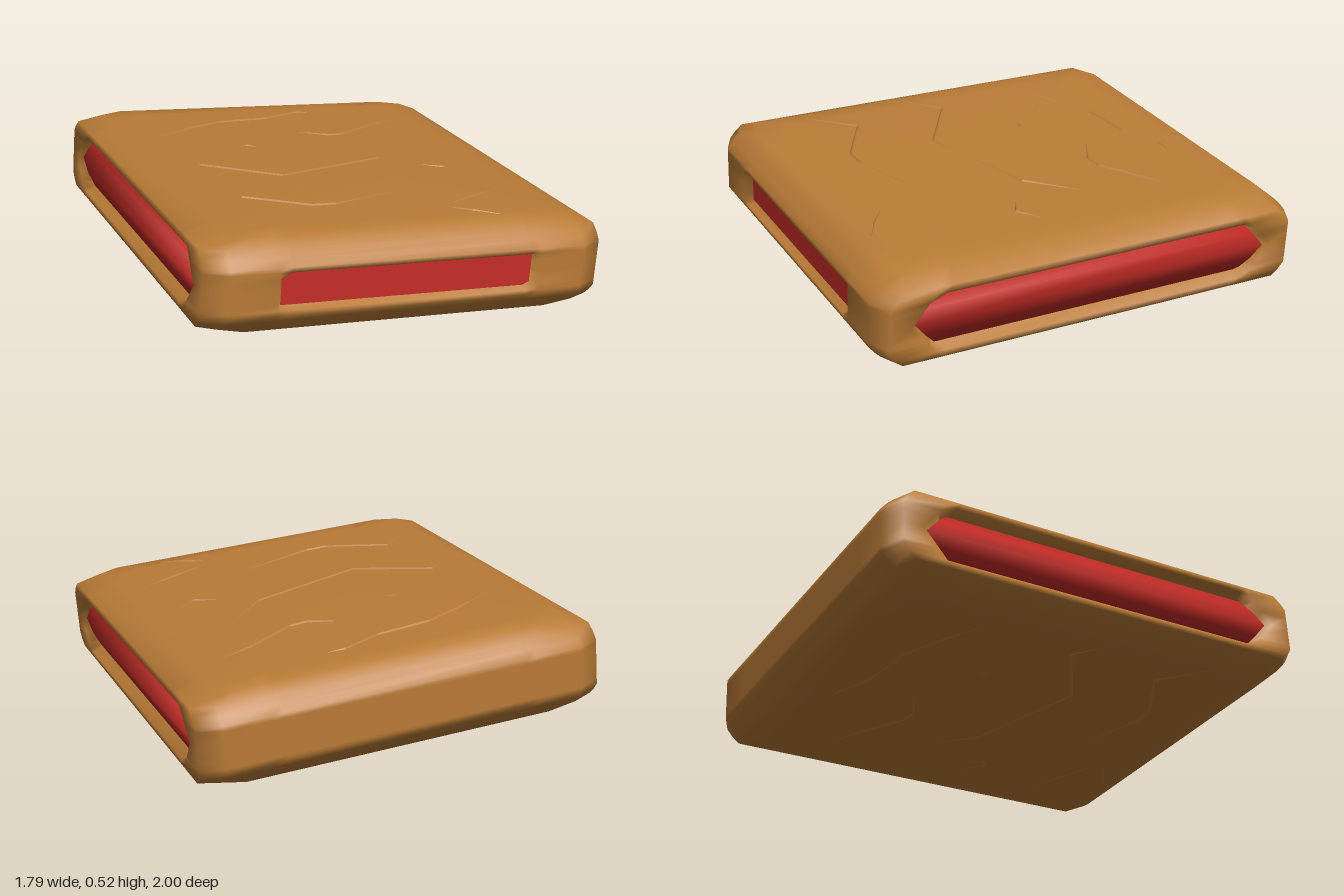
import * as THREE from 'three';

const crust = new THREE.MeshStandardMaterial({ color: 0xb97b37 });
crust.name = 'bakedCrust';
const jam = new THREE.MeshStandardMaterial({ color: 0xc42c26 });
jam.name = 'redFilling';

// Skin equal-length rings, listed from bottom to top, and close both ends.
function loft(rings) {
  const n = rings[0].length;
  const pos = rings.flat(2);
  const idx = [];
  for (let l = 0; l < rings.length - 1; l++) {
    for (let i = 0; i < n; i++) {
      const a = l * n + i, b = l * n + (i + 1) % n;
      idx.push(a, b, b + n, a, b + n, a + n);
    }
  }
  const bottom = pos.length / 3, top = bottom + 1, last = (rings.length - 1) * n;
  pos.push(0, rings[0][0][1], 0, 0, rings[rings.length - 1][0][1], 0);
  for (let i = 0; i < n; i++) {
    const j = (i + 1) % n;
    idx.push(bottom, j, i, top, last + i, last + j);
  }
  const geo = new THREE.BufferGeometry();
  geo.setAttribute('position', new THREE.Float32BufferAttribute(pos, 3));
  geo.setIndex(idx);
  geo.computeVertexNormals();
  return geo;
}

// One horizontal section of the crust, with pockets in the front and both ends.
function crustRing([y, hx, hz]) {
  const h = Math.abs(y);
  const xc = hx - 0.1, zc = hz - 0.05;
  const endFloor = 0.81 - 0.8 * h;
  const stations = (corner, floor) => {
    const rim = Math.min(floor + 0.05, corner * 0.96);
    const f = Math.min(floor, corner * 0.9);
    return [corner, rim, f, -f, -rim, -corner];
  };
  const endDepth = h <= 0.101 ? 0.085 : 0;
  const frontDepth = h <= 0.056 ? 0.08 : 0;
  const cut = (i, depth) => (i === 2 || i === 3 ? depth : 0);
  const zs = stations(zc, endFloor), xs = stations(xc, 0.53);
  return [
    ...zs.map((z, i) => [hx - cut(i, endDepth), y, z]),
    ...xs.map((x) => [x, y, -hz]),
    ...zs.map((z, i) => [-hx + cut(i, endDepth), y, -z]),
    ...xs.map((x, i) => [-x, y, hz - cut(i, frontDepth)]),
  ];
}

// Low tapered crease following a polyline across the crust.
function crease(points, y, side) {
  const pos = [], idx = [];
  points.forEach(([x, z], k) => {
    const p = points[Math.max(k - 1, 0)], q = points[Math.min(k + 1, points.length - 1)];
    const dx = q[0] - p[0], dz = q[1] - p[1], len = Math.hypot(dx, dz);
    const end = k === 0 || k === points.length - 1;
    const w = end ? 0.004 : 0.014, h = end ? 0.001 : 0.008;
    const nx = -dz / len * w, nz = dx / len * w;
    pos.push(x + nx, y - side * 0.004, z + nz, x, y + side * h, z, x - nx, y - side * 0.004, z - nz);
    if (k) {
      const a = 3 * (k - 1);
      for (const o of [a, a + 1]) {
        if (side > 0) idx.push(o, o + 3, o + 1, o + 1, o + 3, o + 4);
        else idx.push(o, o + 1, o + 3, o + 1, o + 4, o + 3);
      }
    }
  });
  // the strip is wound so its outer side faces away from the slab
  for (let i = 0; i < idx.length; i += 3) [idx[i + 1], idx[i + 2]] = [idx[i + 2], idx[i + 1]];
  const geo = new THREE.BufferGeometry();
  geo.setAttribute('position', new THREE.Float32BufferAttribute(pos, 3));
  geo.setIndex(idx);
  const flat = geo.toNonIndexed();
  flat.computeVertexNormals();
  // guard the winding: flip any strip that ended up facing inward
  if (flat.attributes.normal.getY(0) * side < 0) {
    geo.setIndex(idx.reverse());
    const flipped = geo.toNonIndexed();
    flipped.computeVertexNormals();
    return flipped;
  }
  return flat;
}

export function createModel() {
  const group = new THREE.Group();
  group.name = 'filledPastry';
  const slab = new THREE.Group();
  slab.name = 'tiltedSlab';
  group.add(slab);
  const add = (name, geo, mat) => {
    const mesh = new THREE.Mesh(geo, mat);
    mesh.name = name;
    slab.add(mesh);
    return mesh;
  };

  // Crust: half thickness, half width and half depth of each level
  const half = [
    [0.207, 0.68, 0.8], [0.2, 0.78, 0.9], [0.16, 0.882, 0.945], [0.13, 0.885, 0.975],
    [0.1, 0.885, 1], [0.08, 0.885, 1], [0.055, 0.885, 1],
  ];
  const levels = [
    ...half.map(([y, x, z]) => [-y, x, z]), [0, 0.885, 1], ...half.slice().reverse(),
  ];
  add('crust', loft(levels.map(crustRing)), crust);

  // Filling bulging at both ends
  const fillLevels = [[-0.114, 0.835, 0.735], [-0.06, 0.858, 0.785], [0, 0.868, 0.835],
    [0.06, 0.858, 0.785], [0.114, 0.835, 0.735]];
  add('endFilling', loft(fillLevels.map(([y, x, z]) =>
    [[x, y, z], [x, y, -z], [-x, y, -z], [-x, y, z]])), jam);

  // Filling in the front slot
  add('frontFilling', new THREE.BoxGeometry(1.12, 0.15, 0.1), jam).position.z = 0.915;

  // Creases on the top and underside
  const paths = [
    [[-0.68, -0.4], [-0.42, -0.55], [-0.25, -0.63], [0, -0.66], [0.18, -0.74], [0.28, -0.74]],
    [[0.03, -0.44], [0.2, -0.35], [0.28, -0.36], [0.5, -0.5], [0.68, -0.58]],
    [[-0.3, -0.23], [-0.25, -0.25], [-0.2, -0.21]],
    [[-0.7, 0.12], [-0.56, 0], [-0.25, 0.2], [0, 0.12], [0.28, 0.03], [0.5, -0.2]],
    [[0.42, 0.14], [0.53, 0.2], [0.65, 0.1]],
    [[-0.7, 0.62], [-0.53, 0.45], [-0.27, 0.6], [-0.17, 0.6], [0.27, 0.45]],
    [[0.7, 0.5], [0.48, 0.6], [0.27, 0.7]],
    [[0.27, 0.7], [0.38, 0.78], [0.48, 0.84]],
  ];
  for (const side of [1, -1]) {
    for (const path of paths) {
      const local = path.map(([x, z]) => [x - 0.02, z]);
      add(side > 0 ? 'topCrease' : 'bottomCrease', crease(local, side * 0.205, side), crust);
    }
  }

  // The slab rests at a slight tilt
  slab.rotation.z = -0.08;
  slab.position.y = 0.263;
  return group;
}
